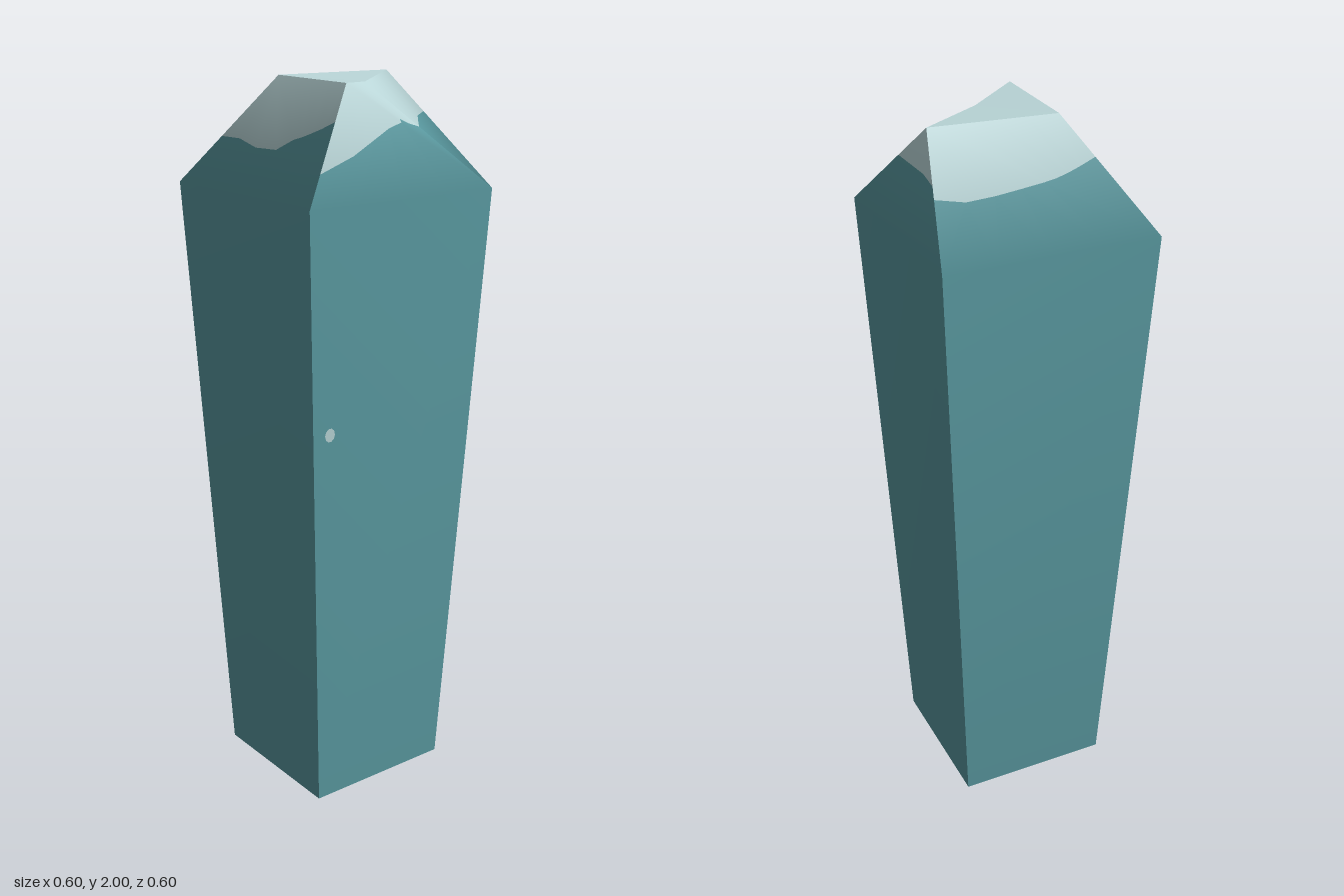
import * as THREE from 'three';

const V = (x, y, z) => new THREE.Vector3(x, y, z);

// Geometry from a list of triangles whose corners are { p, n }
function fromTriangles(corners) {
  const g = new THREE.BufferGeometry();
  g.setAttribute('position', new THREE.Float32BufferAttribute(corners.flatMap(c => c.p.toArray()), 3));
  if (corners[0].n) g.setAttribute('normal', new THREE.Float32BufferAttribute(corners.flatMap(c => c.n.toArray()), 3));
  else g.computeVertexNormals();
  return g;
}

// Point and smooth normal part-way between two corners
const mix = (a, b, t) => ({ p: a.p.clone().lerp(b.p, t), n: a.n.clone().lerp(b.n, t).normalize() });

// Shared smooth normals over one side: 0,1 foot  2,3 shoulder  4,5 crown
function smoothCorners(points, topFirst) {
  const g = new THREE.BufferGeometry().setFromPoints(points);
  const roof = topFirst ? [2, 5, 4, 2, 3, 5] : [2, 3, 4, 3, 5, 4];
  g.setIndex([0, 1, 3, 0, 3, 2, ...roof]);
  g.computeVertexNormals();
  const n = g.attributes.normal;
  return points.map((p, i) => ({ p, n: new THREE.Vector3().fromBufferAttribute(n, i) }));
}

export function createModel() {
  const group = new THREE.Group();
  const teal = new THREE.MeshStandardMaterial({ color: 0x5a9aa1 });
  teal.name = 'teal stone';
  const pale = new THREE.MeshStandardMaterial({ color: 0xbad6d8 });
  pale.name = 'pale tip';

  const add = (name, geometry, material) => {
    const mesh = new THREE.Mesh(geometry, material);
    mesh.name = name;
    group.add(mesh);
    return mesh;
  };

  // Corner rings, in order front-left, front-right, back-right, back-left as seen from the front
  const ring = (r, y) => [V(-r, y, r), V(r, y, r), V(r, y, -r), V(-r, y, -r)];
  const foot = ring(0.22, 0);
  const shoulder = ring(0.3, 1.714);
  const crown = [V(-0.12, 2, 0.21), V(0.037, 1.988, 0.086), V(0.237, 2, -0.072), V(-0.106, 2, -0.101)];

  // Ragged edge of the pale tip on each side, as a fraction from shoulder to crown
  const sides = [
    { name: 'front', topFirst: false, edge: [0.28, 0.4, 0.52, 0.6, 0.64, 0.67, 0.62, 0.6, 0.58] },
    { name: 'left', topFirst: true, edge: [0.58, 0.61, 0.64, 0.64, 0.64, 0.64, 0.64, 0.64, 0.6] },
    { name: 'back', topFirst: false, edge: [0.51, 0.46, 0.47, 0.49, 0.51, 0.53, 0.56, 0.6, 0.65] },
    { name: 'right', topFirst: false, edge: [0.435, 0.44, 0.39, 0.4, 0.5, 0.53, 0.57, 0.62, 0.69] },
  ];

  sides.forEach(({ name, topFirst, edge }, i) => {
    const j = (i + 1) % 4;
    const [f0, f1, b0, b1, t0, t1] = smoothCorners(
      [foot[i], foot[j], shoulder[i], shoulder[j], crown[i], crown[j]], topFirst);

    // Tapered shaft, then two fans of columns that make the bevel
    const stone = [f0, f1, b1, f0, b1, b0];
    const tip = [];
    const columns = edge.map((t, k) => {
      const s = (2 * k) / (edge.length - 1);
      const first = Math.min(s, 1), second = Math.max(s - 1, 0);
      const low = mix(b0, b1, topFirst ? second : first);
      const high = mix(t0, t1, topFirst ? first : second);
      return { low, high, cut: mix(low, high, t) };
    });
    for (let k = 0; k + 1 < columns.length; k++) {
      const a = columns[k], b = columns[k + 1];
      stone.push(a.low, b.low, b.cut, a.low, b.cut, a.cut);
      tip.push(a.cut, b.cut, b.high, a.cut, b.high, a.high);
    }
    add(name + 'Shaft', fromTriangles(stone), teal);
    add(name + 'Tip', fromTriangles(tip), pale);
  });

  // Flat crown and base
  const flat = (points, order) => fromTriangles(order.map(k => ({ p: points[k] })));
  add('crown', flat(crown, [0, 1, 3, 1, 2, 3]), pale);
  add('base', flat(foot, [0, 3, 2, 0, 2, 1]), teal);

  // Small pale fleck on the front
  const fleck = add('fleck', new THREE.CircleGeometry(0.016, 10), pale);
  fleck.scale.y = 1.2;
  fleck.rotation.x = Math.atan(0.08 / 1.714);
  fleck.position.set(-0.22, 1.12, 0.2745);

  return group;
}
